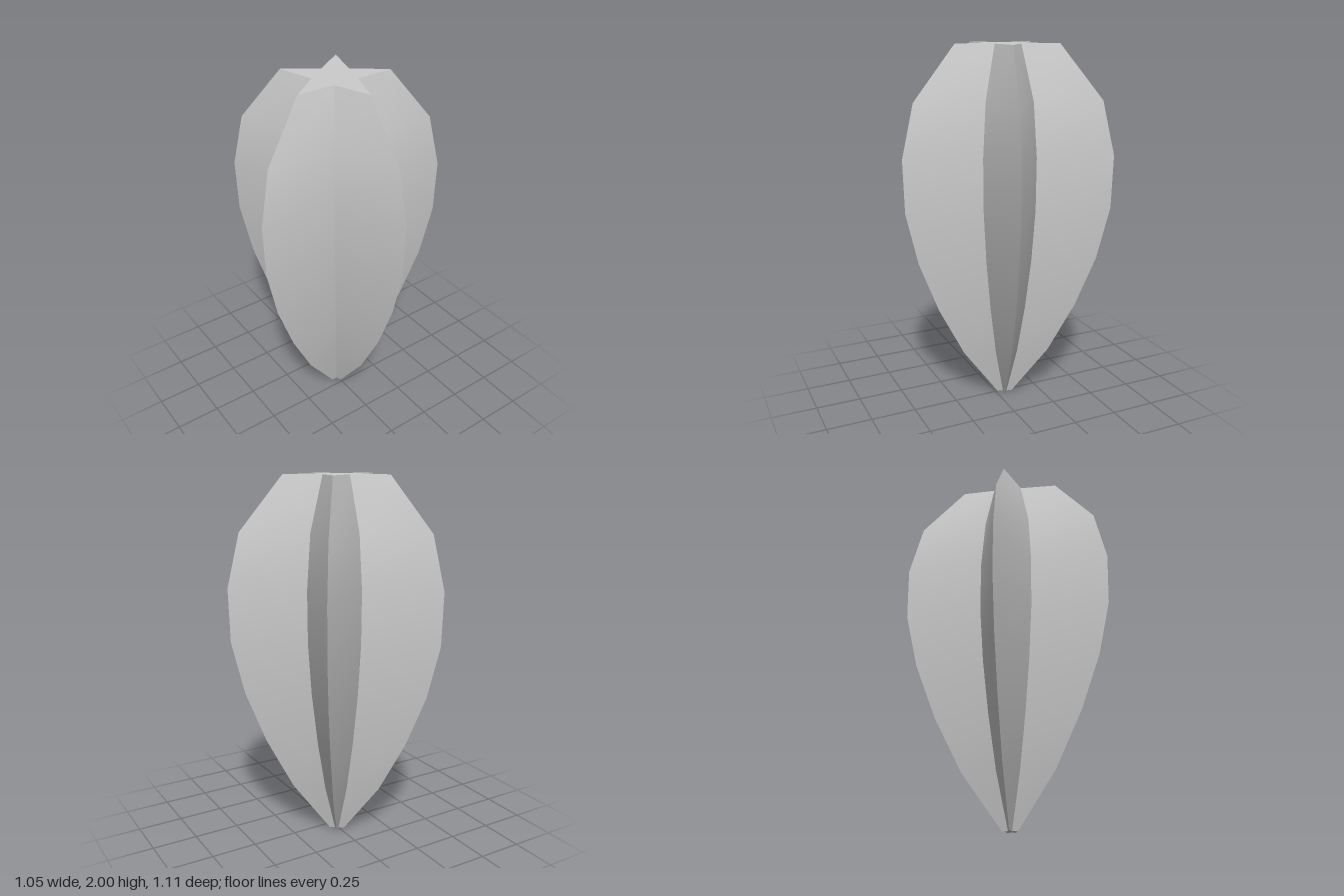
import * as THREE from 'three';
import { toCreasedNormals } from 'three/addons/utils/BufferGeometryUtils.js';

const HEIGHT = 2;
const POINTS = 5;
const VALLEY = 0.408; // valley radius relative to tip radius
const CENTER_X = -0.058; // centres the star's bounding box
const TIP_RADII = [0.043, 0.253, 0.4, 0.51, 0.576, 0.583, 0.516, 0.286];

// Star cross-sections stacked along y, joined by ribs and closed by two caps
function starBodyGeometry() {
  const n = POINTS * 2;
  const rings = TIP_RADII.length;
  const positions = [];
  const index = [];

  TIP_RADII.forEach((radius, j) => {
    const y = (HEIGHT * j) / (rings - 1);
    for (let i = 0; i < n; i++) {
      const r = i % 2 ? radius * VALLEY : radius;
      const a = (i / n) * Math.PI * 2;
      positions.push(r * Math.cos(a), y, r * Math.sin(a));
    }
  });
  const bottom = positions.length / 3;
  const top = bottom + 1;
  positions.push(0, 0, 0, 0, HEIGHT, 0);

  for (let i = 0; i < n; i++) {
    const next = (i + 1) % n;
    for (let j = 0; j < rings - 1; j++) {
      const a = j * n + i, b = j * n + next;
      index.push(a, a + n, b, b, a + n, b + n);
    }
    const last = (rings - 1) * n;
    index.push(bottom, i, next, top, last + next, last + i);
  }

  const geometry = new THREE.BufferGeometry();
  geometry.setAttribute('position', new THREE.Float32BufferAttribute(positions, 3));
  geometry.setIndex(index);
  // Smooth along each rib side, sharp at tips, valleys and caps
  return toCreasedNormals(geometry, 0.6);
}

export function createModel() {
  const group = new THREE.Group();
  group.name = 'starFruit';
  const body = new THREE.Mesh(
    starBodyGeometry(),
    new THREE.MeshStandardMaterial({ color: 0xcccccc })
  );
  body.name = 'ribbedBody';
  body.position.x = CENTER_X;
  group.add(body);
  return group;
}
